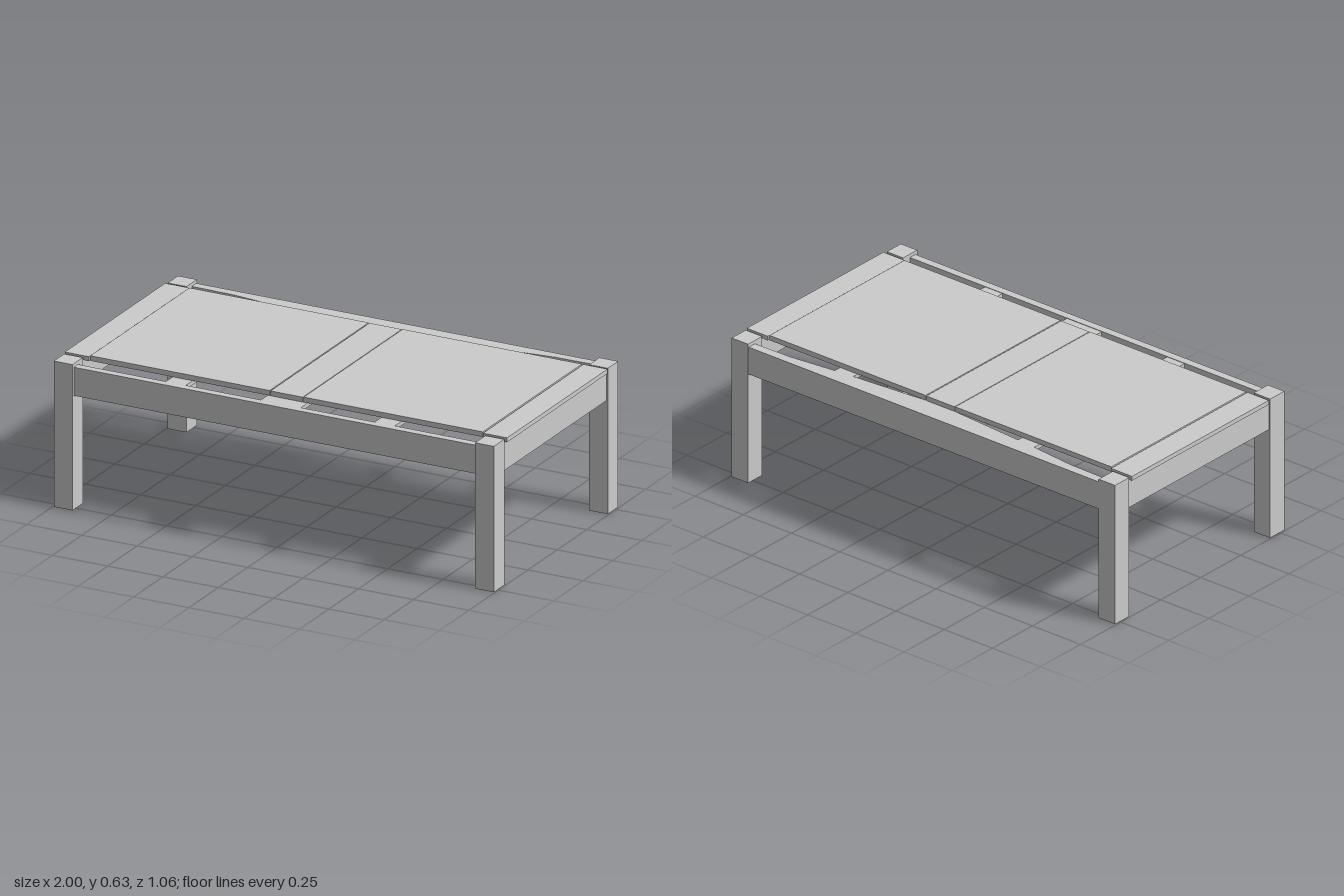
import * as THREE from 'three';

const material = new THREE.MeshStandardMaterial({ color: 0xcccccc, flatShading: true, side: THREE.DoubleSide });

export function createModel() {
  const table = new THREE.Group();
  table.name = 'lowTable';

  // Box given by its limits along each axis
  function box(name, [x0, x1], [y0, y1], [z0, z1]) {
    const mesh = new THREE.Mesh(new THREE.BoxGeometry(x1 - x0, y1 - y0, z1 - z0), material);
    mesh.position.set((x0 + x1) / 2, (y0 + y1) / 2, (z0 + z1) / 2);
    mesh.name = name;
    table.add(mesh);
  }
  // Same limits mirrored to the negative side
  const side = (s, a, b) => (s > 0 ? [a, b] : [-b, -a]);

  for (const sx of [1, -1]) {
    const end = sx > 0 ? 'left' : 'right';
    // Legs, with the small pins joining them to the end boards
    for (const sz of [1, -1]) {
      const corner = end + (sz > 0 ? 'Front' : 'Back');
      box(corner + 'Leg', side(sx, 0.91, 0.995), [0, 0.625], side(sz, 0.44, 0.528));
      box(corner + 'Pin', side(sx, 0.935, 0.97), [0.585, 0.61], side(sz, 0.42, 0.445));
    }
    // End apron and end board
    box(end + 'Apron', side(sx, 0.95, 0.988), [0.485, 0.61], [-0.44, 0.44]);
    box(end + 'EndBoard', side(sx, 0.891, 1), [0.608, 0.627], [-0.428, 0.425]);
    // Large top panel
    box(end + 'TopPanel', side(sx, 0.077, 0.887), [0.608, 0.63], [-0.422, 0.42]);
  }
  box('centreTopPanel', [-0.073, 0.073], [0.608, 0.629], [-0.422, 0.42]);

  // Long aprons
  box('frontApron', [-0.91, 0.91], [0.488, 0.61], [0.482, 0.517]);
  box('backApron', [-0.91, 0.91], [0.488, 0.61], [-0.524, -0.485]);

  // Back ledge, widening towards the middle
  const ledge = new THREE.Shape([
    [-0.91, 0.524], [-0.91, 0.485], [-0.73, 0.482], [-0.5, 0.457], [-0.09, 0.425],
    [0.09, 0.425], [0.5, 0.457], [0.73, 0.482], [0.91, 0.485], [0.91, 0.524],
  ].map(([x, y]) => new THREE.Vector2(x, y)));
  const ledgeGeometry = new THREE.ExtrudeGeometry(ledge, { depth: 0.008, bevelEnabled: false });
  ledgeGeometry.rotateX(-Math.PI / 2);
  const backLedge = new THREE.Mesh(ledgeGeometry, material);
  backLedge.name = 'backLedge';
  backLedge.position.y = 0.602;
  table.add(backLedge);

  // Flat battens under the top, reaching out to the aprons
  for (const [x, half] of [[-0.47, 0.045], [0.005, 0.09], [0.475, 0.045]]) {
    box('batten', [x - half, x + half], [0.59, 0.608], [-0.49, 0.485]);
  }
  return table;
}
